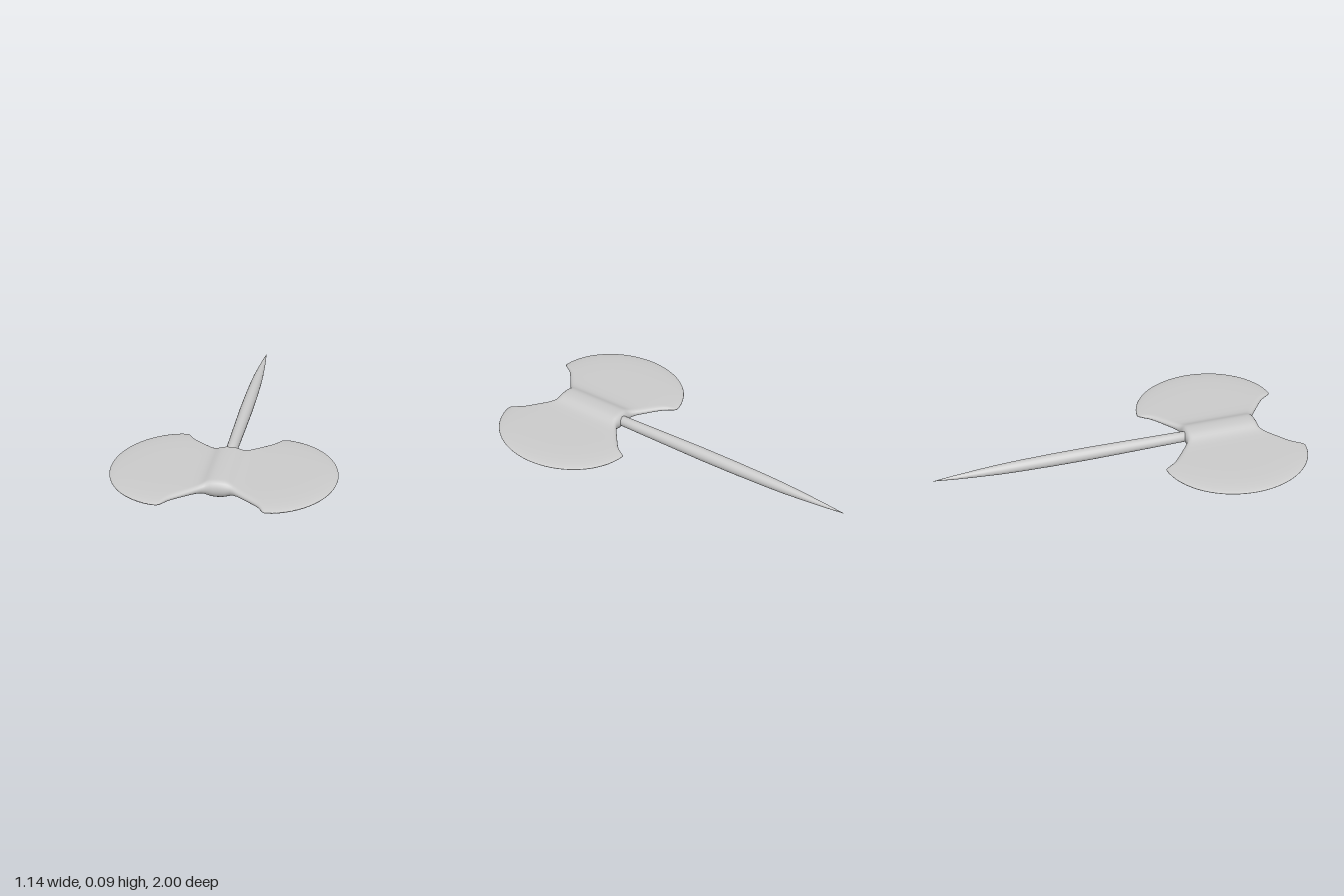
import * as THREE from 'three';

const AXIS_Y = 0.045; // height of the shaft axis
const HEAD_Z = 0.6; // middle of the axe head

// [x, half length along z, half thickness] from the hub to the blade corner
const INNER = [
  [0, 0.214, 0.045], [0.02, 0.214, 0.044], [0.035, 0.213, 0.042], [0.05, 0.212, 0.038],
  [0.065, 0.215, 0.031], [0.08, 0.224, 0.025], [0.1, 0.239, 0.0205], [0.13, 0.264, 0.0185],
  [0.17, 0.297, 0.018], [0.2, 0.323, 0.018], [0.22, 0.345, 0.018], [0.235, 0.37, 0.018],
  [0.245, 0.388, 0.018], [0.256, 0.398, 0.018],
];
const ARC = { x: 0.23, rx: 0.338, rz: 0.4 }; // elliptical cutting edge

function headStations() {
  const half = INNER.map(([x, h, t]) => ({ x, h, t }));
  for (let i = 1; i <= 16; i++) {
    const a = Math.PI / 2 - 0.08 - (i / 16) * (Math.PI / 2 - 0.08);
    half.push({ x: ARC.x + ARC.rx * Math.cos(a), h: ARC.rz * Math.sin(a), t: 0.018 });
  }
  const mirrored = half.slice(1).reverse().map((s) => ({ ...s, x: -s.x }));
  return [...mirrored, ...half];
}

// Thickness thins towards the cutting edge and rounds over at the inner edges
function halfThickness({ x, h, t }, z) {
  const e = Math.min(1, Math.hypot(Math.max(0, Math.abs(x) - ARC.x) / ARC.rx, z / ARC.rz));
  const round = 0.03;
  const k = Math.min(1, Math.max(0, (Math.abs(z) - (h - round)) / round));
  const rim = Math.abs(x) < 0.26 ? Math.sqrt(1 - k * k) : 1;
  return t * Math.sqrt(1 - e ** 4) * rim;
}

// Double-bladed head lofted from closed cross-sections along x
function headGeometry() {
  const stations = headStations();
  const n = 28; // points across one face
  const ring = n * 2;
  const positions = [];
  const index = [];
  for (const s of stations) {
    for (let j = 0; j < ring; j++) {
      const z = -s.h * Math.cos((j / n) * Math.PI);
      const side = j < n ? 1 : -1;
      positions.push(s.x, side * halfThickness(s, z), z);
    }
  }
  for (let i = 0; i < stations.length - 1; i++) {
    for (let j = 0; j < ring; j++) {
      const a = i * ring + j;
      const c = i * ring + ((j + 1) % ring);
      index.push(a, c, a + ring, c, c + ring, a + ring);
    }
  }
  const geometry = new THREE.BufferGeometry();
  geometry.setAttribute('position', new THREE.Float32BufferAttribute(positions, 3));
  geometry.setIndex(index);
  geometry.computeVertexNormals();
  return geometry;
}

// Round shaft that swells slightly and ends in a long point
function shaftGeometry() {
  const profile = [
    [0, -0.44], [0.028, -0.44], [0.03, -0.3], [0.033, -0.05], [0.035, 0.15], [0.034, 0.35],
    [0.031, 0.52], [0.027, 0.64], [0.021, 0.74], [0.012, 0.87], [0, 1],
  ].map(([r, l]) => new THREE.Vector2(r, l));
  return new THREE.LatheGeometry(profile, 20).rotateX(-Math.PI / 2);
}

export function createModel() {
  const model = new THREE.Group();
  model.name = 'doubleAxe';
  const material = new THREE.MeshStandardMaterial({ color: 0xcccccc });

  const head = new THREE.Mesh(headGeometry(), material);
  head.name = 'axeHead';
  head.position.set(0, AXIS_Y, HEAD_Z);

  const shaft = new THREE.Mesh(shaftGeometry(), material);
  shaft.name = 'shaft';
  shaft.position.y = AXIS_Y;

  model.add(head, shaft);
  return model;
}
